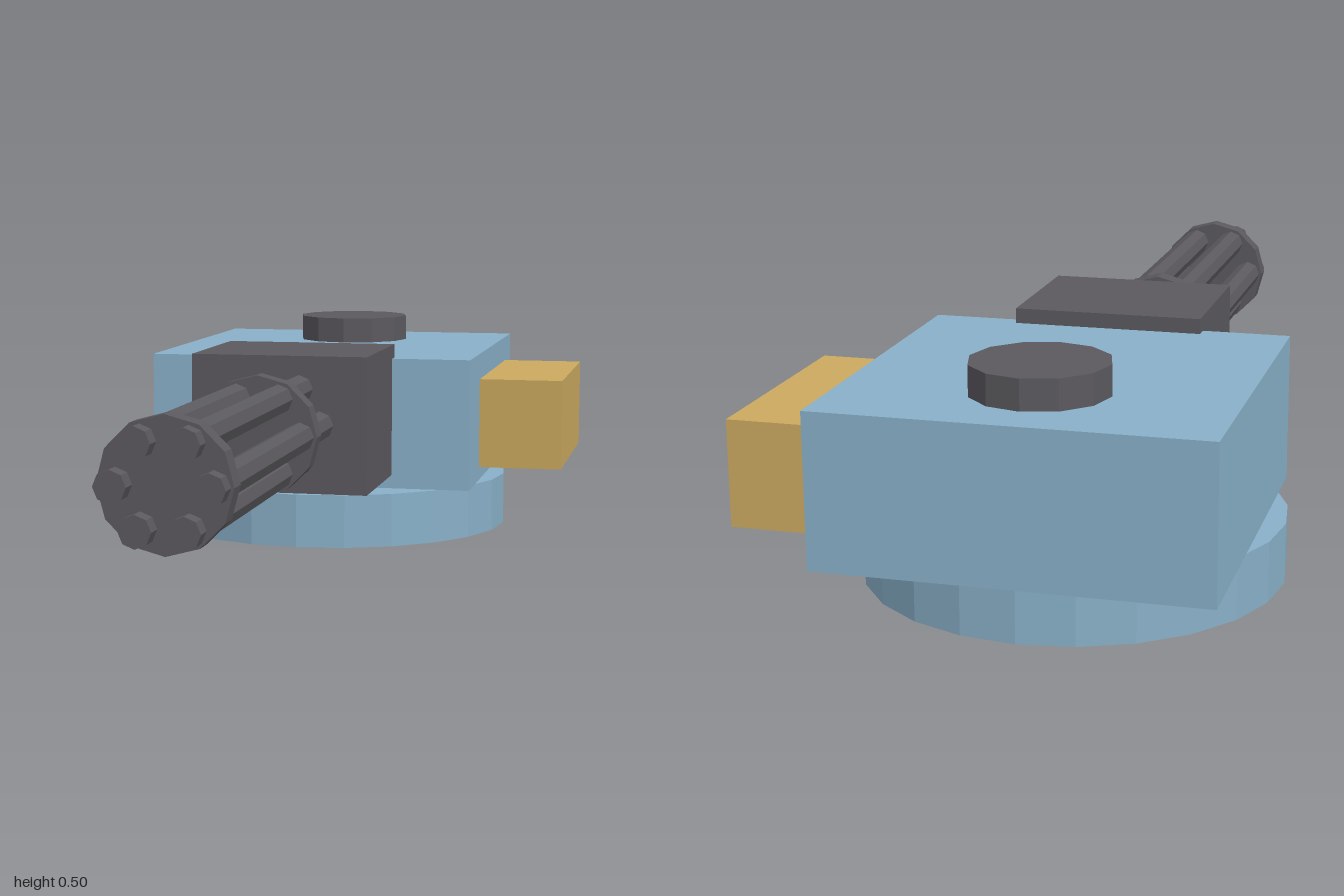
import * as THREE from 'three';

const flat = (name, color) => {
  const m = new THREE.MeshStandardMaterial({ color, flatShading: true });
  m.name = name;
  return m;
};

export function createModel() {
  const group = new THREE.Group();
  group.name = 'gunTurret';
  const blue = flat('blueArmour', 0x89b0c8);
  const dark = flat('darkMetal', 0x5b595e);
  const gold = flat('ammoGold', 0xcba95f);
  const axisX = -0.078;

  const add = (name, geometry, material) => {
    const mesh = new THREE.Mesh(geometry, material);
    mesh.name = name;
    group.add(mesh);
    return mesh;
  };
  // Box given by its lower and upper limits
  const box = (name, material, [x0, x1], [y0, y1], [z0, z1]) =>
    add(name, new THREE.BoxGeometry(x1 - x0, y1 - y0, z1 - z0), material)
      .position.set((x0 + x1) / 2, (y0 + y1) / 2, (z0 + z1) / 2);
  // Upright drum
  const drum = (name, material, r, sides, z, y0, y1) =>
    add(name, new THREE.CylinderGeometry(r, r, y1 - y0, sides), material)
      .position.set(axisX, (y0 + y1) / 2, z);
  // Rod lying along z
  const rod = (name, r, sides, x, y, z0, z1) => {
    const g = new THREE.CylinderGeometry(r, r, z1 - z0, sides).rotateX(Math.PI / 2);
    add(name, g, dark).position.set(x, y, (z0 + z1) / 2);
  };

  // Turret body
  drum('turretRing', blue, 0.433, 24, -0.519, 0, 0.125);
  box('turretBody', blue, [-0.465, 0.309], [0.125, 0.435], [-1, -0.226]);
  drum('hatch', dark, 0.139, 12, -0.768, 0.43, 0.497);
  box('ammoBox', gold, [0.309, 0.509], [0.157, 0.373], [-0.89, -0.395]);

  // Rotary gun
  box('gunHousing', dark, [-0.279, 0.123], [0.157, 0.467], [-0.256, 0.083]);
  const axisY = 0.312;
  for (let i = 0; i < 6; i++) {
    const a = (i * Math.PI) / 3;
    rod('barrel' + (i + 1), 0.032, 8, axisX + 0.093 * Math.cos(a), axisY + 0.093 * Math.sin(a), 0.07, 1);
  }
  rod('rearBarrelClamp', 0.131, 12, axisX, axisY, 0.235, 0.28);
  rod('frontBarrelClamp', 0.131, 12, axisX, axisY, 0.918, 0.963);

  return group;
}
